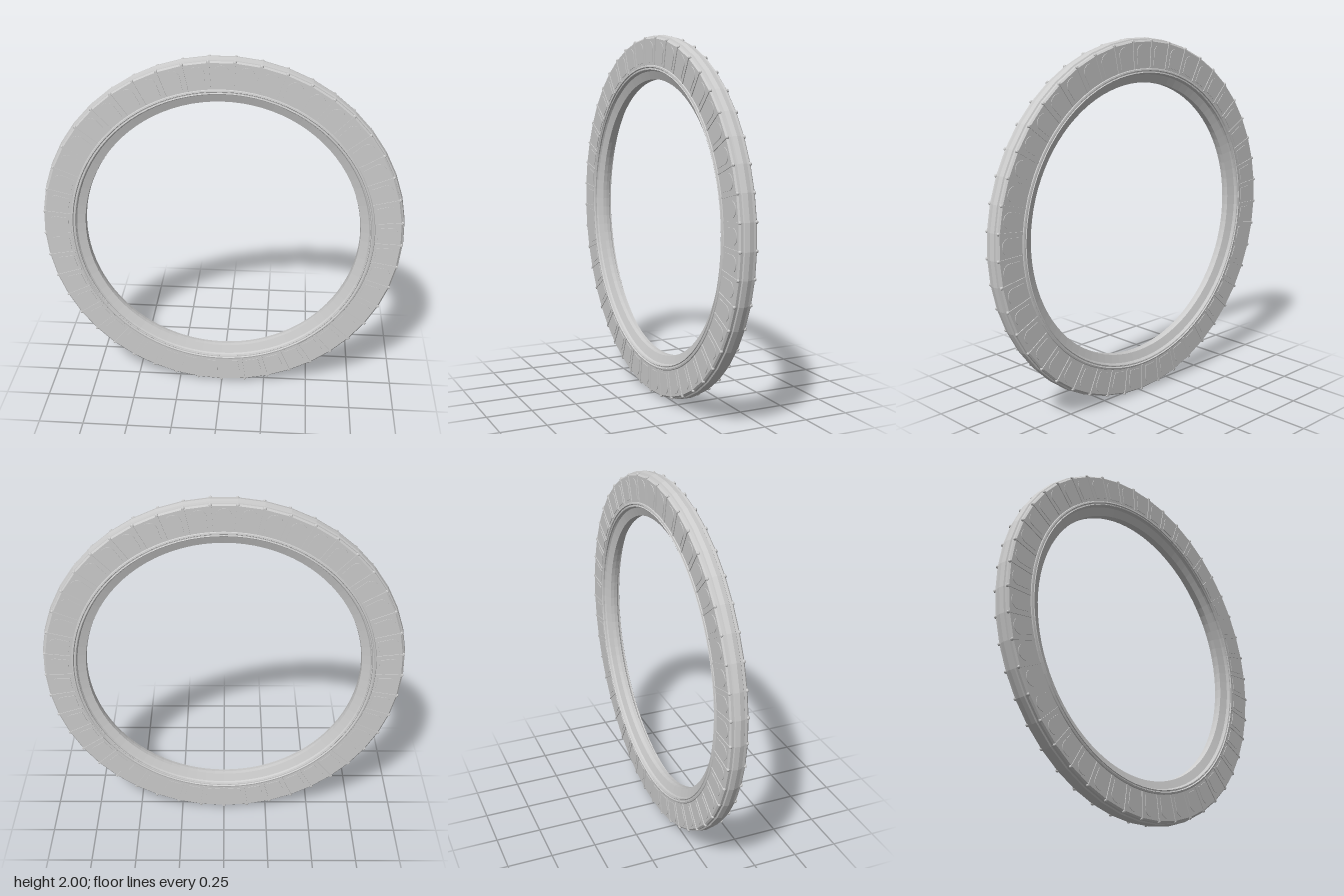
import * as THREE from 'three';
import { mergeGeometries } from 'three/addons/utils/BufferGeometryUtils.js';

const COUNT = 45;   // facets, ribs and panels round the ring
const FACE = 0.05;  // half thickness at the side faces

export function createModel() {
  const ring = new THREE.Group();
  ring.name = 'ring';
  const material = new THREE.MeshStandardMaterial({ color: 0xcccccc, flatShading: true, side: THREE.DoubleSide });

  const add = (geometry, name, parent) => {
    const mesh = new THREE.Mesh(geometry, material);
    mesh.name = name;
    parent.add(mesh);
  };

  // Revolve [radius, z] points about the z axis
  const revolve = (points, segments) =>
    new THREE.LatheGeometry(points.map(([r, z]) => new THREE.Vector2(r, z)), segments).rotateX(Math.PI / 2);

  // Copy a part that points along +x to every step round the ring
  const repeat = (geometry, offset) => mergeGeometries(Array.from({ length: COUNT }, (_, i) =>
    geometry.clone().rotateZ(-Math.PI / 2 + (i + offset) * 2 * Math.PI / COUNT)));

  // Faceted body: side faces and a stepped, slightly crowned rim
  add(revolve([
    [0.82, -FACE], [0.98, -FACE], [0.988, -0.042], [0.988, -0.028], [0.995, -0.024], [1, 0],
    [0.995, 0.024], [0.988, 0.028], [0.988, 0.042], [0.98, FACE], [0.82, FACE],
  ], COUNT), 'body', ring);

  // Inner band, sloping from both sides to the narrow bore
  add(revolve([
    [0.812, 0.044], [0.806, 0.036], [0.762, 0.02], [0.76, 0],
    [0.762, -0.02], [0.806, -0.036], [0.812, -0.044],
  ], COUNT * 2), 'innerBand', ring);

  // Arched panel, round end towards the rim
  const arch = new THREE.Shape();
  arch.moveTo(0.853, -0.036);
  arch.lineTo(0.925, -0.042);
  arch.absellipse(0.925, 0, 0.04, 0.042, -Math.PI / 2, Math.PI / 2, false);
  arch.lineTo(0.853, 0.036);
  arch.closePath();
  const panel = new THREE.ExtrudeGeometry(arch, { depth: 0.004, bevelEnabled: false, curveSegments: 10 })
    .translate(0, 0, FACE - 0.001);
  const rib = new THREE.BoxGeometry(0.145, 0.01, 0.008).translate(0.9125, 0, FACE);
  const nub = new THREE.SphereGeometry(0.009, 8, 6).translate(0.985, 0, 0.045);

  // Both decorated sides
  for (const [name, turn] of [['frontSide', 0], ['backSide', Math.PI]]) {
    const side = new THREE.Group();
    side.name = name;
    side.rotation.y = turn;
    add(revolve([
      [0.84, FACE - 0.002], [0.836, 0.054], [0.828, 0.056], [0.824, 0.05],
      [0.819, 0.05], [0.816, 0.054], [0.812, 0.052], [0.812, 0.043],
    ], COUNT * 2), 'innerLip', side);
    add(repeat(panel, 0.5), 'archedPanels', side);
    add(repeat(rib, 0), 'ribs', side);
    add(repeat(nub, 0), 'rimNubs', side);
    ring.add(side);
  }

  ring.position.y = 1;
  const model = new THREE.Group();
  model.add(ring);
  return model;
}
